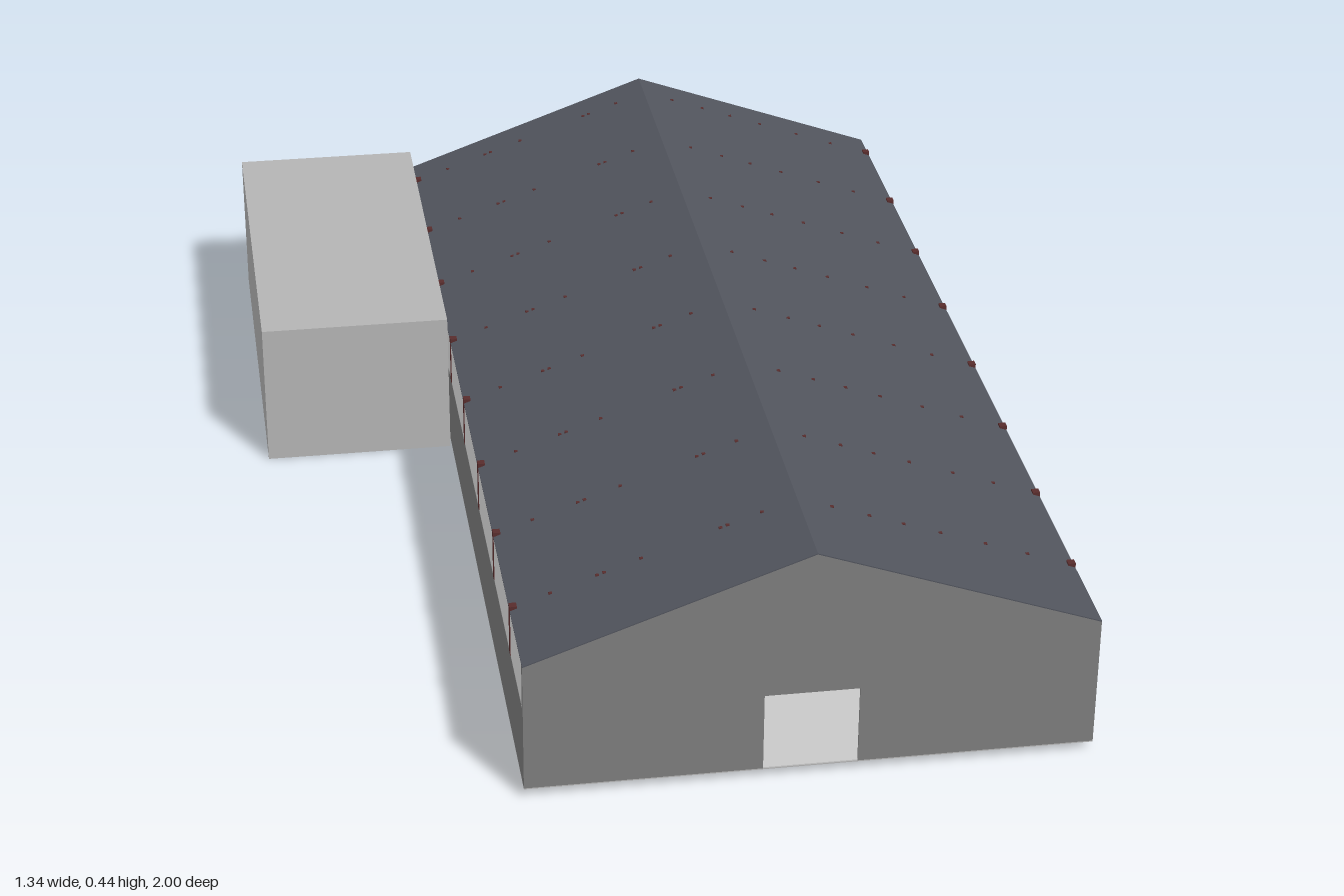
import * as THREE from 'three';

const material = (name, color) => new THREE.MeshStandardMaterial({ name, color });

export function createModel() {
  const wallGrey = material('wall grey', 0x7d7d7d);
  const concrete = material('light concrete', 0xb4b4b4);
  const paleGrey = material('pale panel', 0xe4e4e4);
  const slate = material('slate roof', 0x51545d);
  const darkRed = material('dark red steel', 0x582c2c);

  const model = new THREE.Group();
  model.name = 'barn';

  const X0 = -0.31, X1 = 0.67, MID = 0.18, HALF = 0.49;
  const BASE = 0.018, SILL = 0.172, EAVE = 0.26, RIDGE = 0.435;
  const BACK = -0.97, FRONT = 1.0, LENGTH = FRONT - BACK, THICK = 0.012;
  const DOOR0 = 0.097, DOOR1 = 0.26, DOOR_TOP = 0.164;
  const slope = Math.atan2(RIDGE - EAVE, HALF);
  const roofY = x => RIDGE - (RIDGE - EAVE) * Math.abs(x - MID) / HALF;

  const add = (name, geometry, mat, parent = model) => {
    const mesh = new THREE.Mesh(geometry, mat);
    mesh.name = name;
    parent.add(mesh);
    return mesh;
  };
  // Box given by its lower and upper corners
  const block = (name, mat, x0, x1, y0, y1, z0, z1, parent) => {
    const mesh = add(name, new THREE.BoxGeometry(x1 - x0, y1 - y0, z1 - z0), mat, parent);
    mesh.position.set((x0 + x1) / 2, (y0 + y1) / 2, (z0 + z1) / 2);
    return mesh;
  };
  const outline = points => new THREE.Shape(points.map(p => new THREE.Vector2(...p)));
  const extrude = (shape, depth) =>
    new THREE.ExtrudeGeometry(shape, { depth, bevelEnabled: false });

  // Thin floor slab under the walls
  block('floor', concrete, X0, X1, BASE - 0.002, BASE, BACK, FRONT);

  // Gable walls notched for a slightly recessed door
  for (const [end, z, doorZ] of [
    ['front', FRONT - THICK, FRONT - 0.007],
    ['back', BACK, BACK + 0.003],
  ]) {
    const gable = outline([[X0, BASE], [DOOR0, BASE], [DOOR0, DOOR_TOP], [DOOR1, DOOR_TOP],
      [DOOR1, BASE], [X1, BASE], [X1, EAVE - 0.002], [MID, RIDGE - 0.002], [X0, EAVE - 0.002]]);
    add(end + 'Gable', extrude(gable, THICK), wallGrey).position.z = z;
    block(end + 'Door', paleGrey, DOOR0, DOOR1, BASE, DOOR_TOP, doorZ, doorZ + 0.004);
  }

  // Long walls: solid base, pale upper band
  for (const [side, x] of [['left', X1 - THICK], ['right', X0]]) {
    block(side + 'Wall', wallGrey, x, x + THICK, BASE, SILL, BACK + THICK, FRONT - THICK);
    block(side + 'Band', paleGrey, x + 0.0005, x + THICK - 0.0005, SILL, EAVE - 0.001,
      BACK + THICK, FRONT - THICK);
  }

  // Pitched roof
  const roof = outline([[X0, EAVE], [X0, EAVE - 0.002], [MID, RIDGE - 0.002],
    [X1, EAVE - 0.002], [X1, EAVE], [MID, RIDGE]]);
  add('roof', extrude(roof, LENGTH), slate).position.z = BACK;

  // Steel frames: posts, rafters, tie beam and the bolts showing through the roof
  const boltX = [-0.24, -0.16, -0.148, -0.085, 0.05, 0.062, 0.12, 0.24, 0.305, 0.365,
    0.43, 0.51, 0.585];
  for (let i = 0; i < 8; i++) {
    const frame = new THREE.Group();
    frame.name = 'frame' + (i + 1);
    frame.position.z = 0.82 - i * 0.245;
    model.add(frame);
    for (const s of [-1, 1]) {
      const x = MID + s * (HALF - 0.006);
      block('post', darkRed, x - 0.0065, x + 0.0065, SILL, EAVE + 0.008, -0.007, 0.007, frame);
      const rafter = add('rafter', new THREE.BoxGeometry(0.5, 0.012, 0.012), darkRed, frame);
      rafter.position.set(MID + s * HALF / 2, (EAVE + RIDGE) / 2 - 0.018, 0);
      rafter.rotation.z = -s * slope;
    }
    block('tieBeam', darkRed, X0 + 0.02, X1 - 0.02, 0.236, 0.246, -0.005, 0.005, frame);
    for (const x of boltX) {
      const y = roofY(x);
      block('roofBolt', darkRed, x - 0.003, x + 0.003, y - 0.012, y + 0.0015,
        -0.003, 0.003, frame);
    }
  }

  // Flat-roofed annex beside the rear of the barn
  block('annex', concrete, -0.67, X0 - 0.0005, 0, 0.282, -1, -0.21);

  return model;
}
